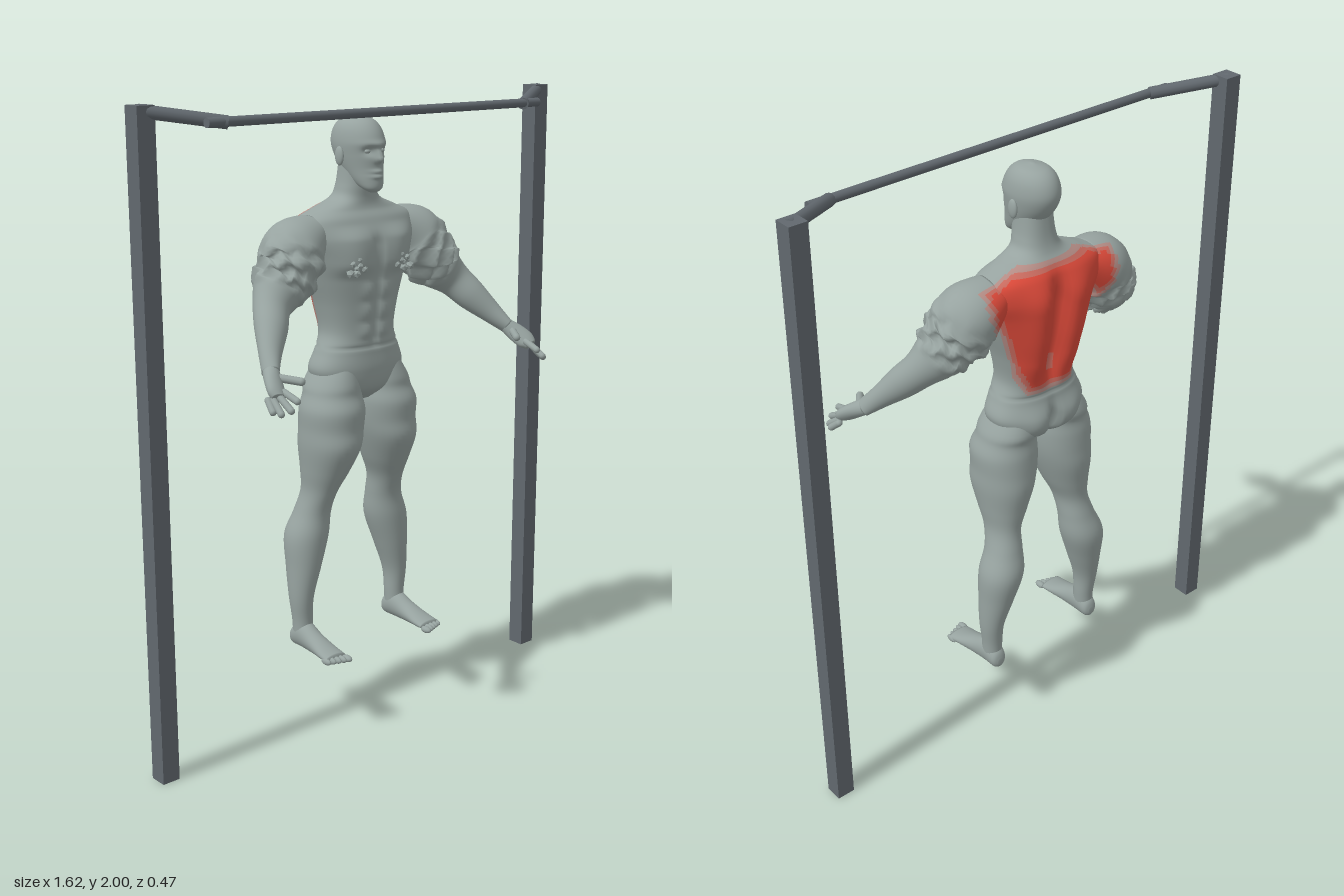
import * as THREE from 'three';

const V = (x, y, z) => new THREE.Vector3(x, y, z);
const mat = (name, color) => Object.assign(new THREE.MeshStandardMaterial({ color }), { name });
const skin = mat('grey skin', 0x97a3a0);
const pale = mat('pale red blend', 0xb58d86);
const mid = mat('mid red blend', 0xca6c60);
const red = mat('highlighted red', 0xdd4a3a);
const metal = mat('dark grey metal', 0x61686e);
const skinTones = [skin, pale, mid, red];

const gauss = (d, w) => Math.exp(-(d * d) / (w * w));
const window01 = (v, a, b, soft) =>
  THREE.MathUtils.smoothstep(v, a, a + soft) * (1 - THREE.MathUtils.smoothstep(v, b - soft, b));

// Catmull-Rom through rows of numbers
function sample(rows, t) {
  const f = t * (rows.length - 1), i = Math.min(Math.floor(f), rows.length - 2), u = f - i;
  const at = k => rows[Math.max(0, Math.min(rows.length - 1, k))];
  return rows[i].map((_, c) => {
    const a = at(i - 1)[c], b = at(i)[c], d = at(i + 1)[c], e = at(i + 2)[c];
    return b + 0.5 * u * (d - a + u * (2 * a - 5 * b + 4 * d - e + u * (3 * (b - d) + e - a)));
  });
}

// Smooth skin over sections [x, y, z, half width, half depth]
function loft(name, rows, { side = 1, dir, ref = V(0, 0, 1), steps = 40, around = 32, power = 1, sculpt, paint } = {}) {
  const pos = [], buckets = [[], [], [], []];
  const sections = Array.from({ length: steps + 1 }, (_, i) => sample(rows, i / steps));
  const centers = sections.map(s => V(s[0] * side, s[1], s[2]));
  const shape = v => Math.sign(v) * Math.abs(v) ** power;
  sections.forEach((s, i) => {
    const t = dir || centers[Math.min(i + 1, steps)].clone().sub(centers[Math.max(i - 1, 0)]).normalize();
    const u = t.clone().cross(ref).normalize(), v = u.clone().cross(t);
    for (let j = 0; j < around; j++) {
      const a = j / around * Math.PI * 2;
      const p = centers[i].clone().addScaledVector(u, shape(Math.cos(a)) * s[3]).addScaledVector(v, shape(Math.sin(a)) * s[4]);
      if (sculpt) sculpt(p, Math.sin(a), a, i / steps);
      pos.push(p.x, p.y, p.z);
    }
  });
  const point = k => V(pos[k * 3], pos[k * 3 + 1], pos[k * 3 + 2]);
  const tri = (a, b, c, tone) => buckets[tone].push(a, b, c);
  for (let i = 0; i < steps; i++) for (let j = 0; j < around; j++) {
    const n = (j + 1) % around, a = i * around + j, d = i * around + n, b = a + around, c = d + around;
    const tone = paint ? paint(point(a).add(point(c)).multiplyScalar(0.5)) : 0;
    tri(a, b, c, tone);
    tri(a, c, d, tone);
  }
  const last = steps * around, cap = pos.length / 3;
  pos.push(...centers[0].toArray(), ...centers[steps].toArray());
  for (let j = 0; j < around; j++) {
    const n = (j + 1) % around;
    tri(cap, j, n, 0);
    tri(cap + 1, last + n, last + j, 0);
  }
  const geo = new THREE.BufferGeometry();
  geo.setAttribute('position', new THREE.Float32BufferAttribute(pos, 3));
  geo.setIndex(buckets.flat());
  let start = 0;
  buckets.forEach((b, k) => { if (b.length) geo.addGroup(start, b.length, k); start += b.length; });
  geo.computeVertexNormals();
  const mesh = new THREE.Mesh(geo, paint ? skinTones : skin);
  mesh.name = name;
  return mesh;
}

function blob(name, x, y, z, rx, ry, rz) {
  const m = new THREE.Mesh(new THREE.SphereGeometry(1, 20, 14), skin);
  m.position.set(x, y, z);
  m.scale.set(rx, ry, rz);
  m.name = name;
  return m;
}

// Straight part laid between two points
function between(name, geo, a, b, material) {
  const m = new THREE.Mesh(geo, material);
  m.position.copy(a).add(b).multiplyScalar(0.5);
  m.quaternion.setFromUnitVectors(V(0, 1, 0), b.clone().sub(a).normalize());
  m.name = name;
  return m;
}
const finger = (name, a, b, r) => between(name, new THREE.CapsuleGeometry(r, a.distanceTo(b) - r, 5, 10), a, b, skin);

// Back muscle area, fading in bands to the skin
function backPaint(p) {
  const h = THREE.MathUtils.clamp(THREE.MathUtils.mapLinear(p.y, 1.27, 1.56, 0.1, 0.245), 0.08, 0.245);
  const d = Math.min(h - Math.abs(p.x), p.y - 1.245, 1.675 - p.y, -0.14 - p.z);
  return d < 0 ? 0 : d < 0.013 ? 1 : d < 0.026 ? 2 : 3;
}

function torsoSculpt(p, f) {
  const x = Math.abs(p.x), y = p.y;
  if (f < 0) {
    const w = Math.min(1, -f * 1.5), back = window01(y, 1.22, 1.68, 0.14);
    p.z += w * back * (0.035 * gauss(x, 0.028) - 0.018 * gauss(x - 0.075, 0.05));
    p.z += w * (0.035 * gauss(x, 0.016) * gauss(y - 1.12, 0.06) - 0.014 * gauss(x - 0.07, 0.05) * gauss(y - 1.14, 0.05));
  } else {
    const w = Math.min(1, f * 1.5);
    p.z += w * (0.018 * gauss(x - 0.09, 0.07) * window01(y, 1.45, 1.62, 0.05) - 0.01 * gauss(x, 0.012) * window01(y, 1.22, 1.6, 0.05));
    p.z += w * 0.007 * window01(y, 1.25, 1.46, 0.03) * gauss(x - 0.035, 0.025) * Math.abs(Math.sin((y - 1.25) * Math.PI / 0.065));
  }
  p.z += -Math.sign(f) * 0.005 * gauss(y - 1.235, 0.005);
}

function headSculpt(p, f) {
  if (f <= 0) return;
  const x = Math.abs(p.x), y = p.y;
  p.z -= 0.014 * gauss(x - 0.028, 0.016) * gauss(y - 1.835, 0.014);
  p.z += 0.03 * gauss(x, 0.011) * window01(y, 1.793, 1.85, 0.02) * (1.85 - y) / 0.05;
  p.z += 0.008 * gauss(x, 0.022) * (gauss(y - 1.773, 0.006) + gauss(y - 1.758, 0.006)) + 0.006 * gauss(y - 1.855, 0.01) * gauss(x, 0.05);
}

function addLimbs(body, s, label) {
  const up = V(0, 1, 0);
  // Leg with calf, knee and thigh swellings
  body.add(loft(label + ' leg', [
    [.2, .275, -.13, .03, .036], [.2, .34, -.133, .032, .034], [.202, .42, -.135, .038, .043],
    [.187, .52, -.14, .054, .06], [.17, .62, -.145, .069, .072], [.152, .7, -.135, .057, .062],
    [.14, .77, -.115, .052, .066], [.128, .84, -.1, .07, .087], [.118, .92, -.088, .089, .111],
    [.111, .98, -.088, .096, .109], [.109, 1.04, -.085, .099, .108], [.104, 1.085, -.09, .089, .096],
    [.1, 1.12, -.095, .082, .097], [.085, 1.18, -.095, .06, .08]],
  { side: s, dir: up, steps: 72, power: 0.95 }));
  // Foot and toes
  body.add(loft(label + ' foot', [
    [.2, .272, -.177, .01, .012], [.2, .28, -.165, .027, .033], [.2, .292, -.12, .033, .046],
    [.202, .278, -.06, .034, .033], [.204, .266, 0, .039, .02], [.205, .26, .04, .04, .013]],
  { side: s, dir: V(0, 0, 1), ref: V(0, -1, 0), steps: 24 }));
  for (let i = 0; i < 5; i++)
    body.add(blob(label + ' toe', s * (.173 + i * .0165), .256, .056 - i * .006, i ? .009 : .012, .011, .021));
  // Arm with lumpy swollen upper part
  body.add(loft(label + ' arm', [
    [.488, 1.245, .095, .022, .028], [.455, 1.29, .052, .036, .034], [.412, 1.345, .003, .051, .048],
    [.375, 1.395, -.04, .058, .056], [.33, 1.44, -.065, .078, .08], [.283, 1.49, -.08, .096, .098],
    [.235, 1.555, -.1, .094, .1], [.16, 1.6, -.11, .055, .07]],
  {
    side: s, steps: 64, around: 40, paint: backPaint,
    sculpt(p, f, a, t) {
      const k = 0.008 * window01(t, 0.5, 0.86, 0.1);
      p.x += s * k * Math.sin(5 * a + 40 * t);
      p.y += k * Math.sin(7 * a - 50 * t);
      p.z += k * Math.cos(4 * a + 60 * t);
    },
  }));
  // Hand
  body.add(loft(label + ' palm', [
    [.52, 1.19, .172, .022, .016], [.515, 1.203, .155, .032, .02], [.502, 1.225, .125, .031, .023], [.485, 1.25, .09, .022, .026]],
  { side: s, steps: 16, around: 20 }));
  [[.542, 1.187, .148, .552, 1.153, .187], [.533, 1.188, .16, .541, 1.15, .212],
    [.517, 1.195, .168, .519, 1.16, .23], [.5, 1.205, .165, .494, 1.184, .228], [.487, 1.235, .12, .441, 1.226, .185]]
    .forEach(([a, b, c, d, e, f], i) =>
      body.add(finger(label + (i < 4 ? ' finger' : ' thumb'), V(s * a, b, c), V(s * d, e, f), i < 4 ? .0105 : .012)));
  // Ear
  body.add(blob(label + ' ear', s * .072, 1.818, -.085, .009, .029, .018));
  // Rough patch on the chest
  for (let i = 0; i < 7; i++) {
    const a = i * 2.4, r = .011 * Math.sqrt(i);
    const m = new THREE.Mesh(new THREE.IcosahedronGeometry(.01 + .002 * (i % 3), 0), skin);
    m.position.set(s * (.095 + r * Math.cos(a) * 1.3), 1.49 + r * Math.sin(a), .022);
    m.rotation.set(i, i * 2, 0);
    m.name = label + ' chest patch';
    body.add(m);
  }
}

export function createModel() {
  const model = new THREE.Group();
  model.name = 'figure with pull-up frame';

  // Muscular figure
  const body = new THREE.Group();
  body.name = 'figure';
  body.add(loft('torso', [
    [0, 1.06, -.09, .04, .04], [0, 1.1, -.097, .125, .088], [0, 1.16, -.098, .166, .1], [0, 1.22, -.093, .148, .092],
    [0, 1.28, -.092, .126, .09], [0, 1.36, -.095, .138, .1], [0, 1.44, -.098, .163, .111], [0, 1.52, -.1, .19, .117],
    [0, 1.58, -.105, .215, .113], [0, 1.63, -.108, .212, .096], [0, 1.66, -.108, .15, .077], [0, 1.69, -.1, .08, .064],
    [0, 1.73, -.092, .061, .059], [0, 1.8, -.085, .054, .056]],
  { dir: V(0, 1, 0), steps: 120, around: 96, power: 0.85, sculpt: torsoSculpt, paint: backPaint }));
  body.add(loft('head', [
    [0, 1.71, -.012, .012, .012], [0, 1.722, -.018, .032, .03], [0, 1.745, -.04, .046, .054], [0, 1.78, -.063, .057, .073],
    [0, 1.82, -.077, .066, .09], [0, 1.86, -.082, .07, .098], [0, 1.9, -.085, .062, .084],
    [0, 1.926, -.086, .041, .055], [0, 1.937, -.086, .004, .006]],
  { dir: V(0, 1, 0), steps: 80, around: 64, sculpt: headSculpt }));
  for (const x of [-.028, .028]) body.add(blob('eye', x, 1.834, -.007, .01, .007, .008));
  addLimbs(body, 1, 'left');
  addLimbs(body, -1, 'right');
  model.add(body);

  // Pull-up frame
  const frame = new THREE.Group();
  frame.name = 'pull-up frame';
  for (const s of [-1, 1]) {
    const post = new THREE.Mesh(new THREE.BoxGeometry(.058, 2, .058), metal);
    post.position.set(s * .782, 1, -.077);
    post.name = 'post';
    const a = V(s * .79, 1.985, -.075), b = V(s * .585, 1.951, .052);
    frame.add(post, between('bracket arm', new THREE.CylinderGeometry(.019, .019, a.distanceTo(b), 12), a, b, metal));
  }
  frame.add(between('pull-up bar', new THREE.CylinderGeometry(.014, .014, 1.31, 16), V(-.655, 1.953, .05), V(.655, 1.953, .05), metal));
  model.add(frame);
  return model;
}
